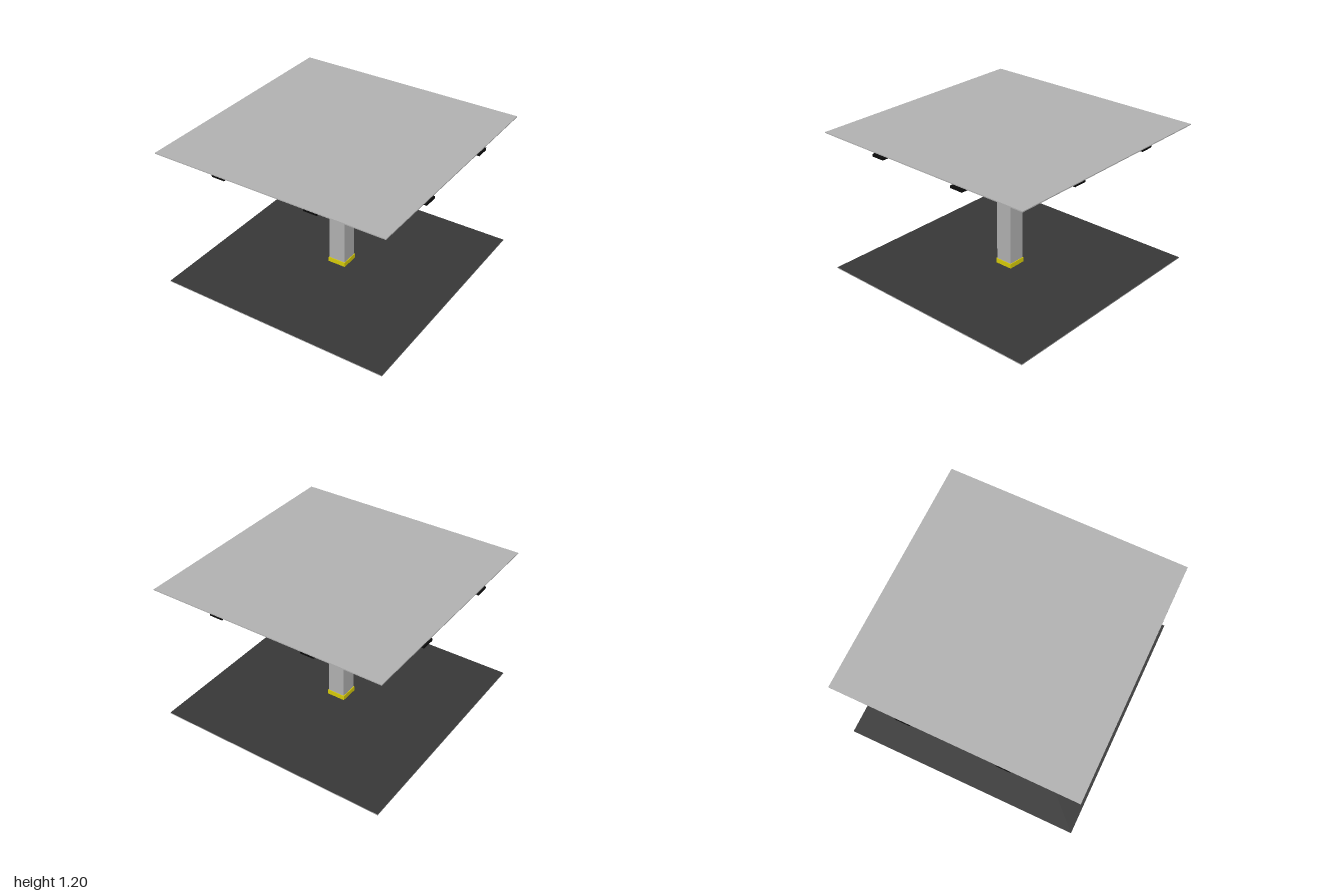
import * as THREE from 'three';

const mat = (name, color) => {
  const m = new THREE.MeshStandardMaterial({ color });
  m.name = name;
  return m;
};

export function createModel() {
  const model = new THREE.Group();
  model.name = 'parkingBay';
  const concrete = mat('concrete grey', 0xb2b2b2);
  const soffit = mat('soffit grey', 0x9c9c9c);
  const asphalt = mat('asphalt', 0x383838);
  const black = mat('tray black', 0x0c0c0c);
  const yellow = mat('safety yellow', 0xd9cd08);

  // Box given by its centre x, z and its lower and upper height
  const box = (name, w, d, y0, y1, material, x = 0, z = 0) => {
    const mesh = new THREE.Mesh(new THREE.BoxGeometry(w, y1 - y0, d), material);
    mesh.name = name;
    mesh.position.set(x, (y0 + y1) / 2, z);
    model.add(mesh);
    return mesh;
  };

  // Slabs: face order is +x, -x, +y, -y, +z, -z
  box('floorSlab', 2, 2, 0, 0.008, [concrete, concrete, asphalt, concrete, concrete, concrete]);
  box('ceilingSlab', 2, 2, 1.196, 1.204, [concrete, concrete, concrete, soffit, concrete, concrete]);

  // Column with its painted protective sleeve
  box('column', 0.146, 0.146, 0.008, 1.196, concrete);
  box('columnSleeve', 0.158, 0.158, 0.012, 0.052, yellow);

  // Two layers of crossing overhead trays, each with a small fixture at mid-span
  for (const s of [-0.4, 0.4]) {
    box('upperTray', 0.112, 2, 1.18, 1.196, black, s, 0);
    box('lowerTray', 2, 0.112, 1.16, 1.18, black, 0, s);
    box('upperTrayFixture', 0.03, 0.14, 1.174, 1.18, black, s, 0);
    box('lowerTrayFixture', 0.14, 0.03, 1.154, 1.16, black, 0, s);
    // Cover plates under the crossings
    for (const t of [-0.4, 0.4]) box('crossingPlate', 0.112, 0.112, 1.155, 1.16, concrete, s, t);
  }
  return model;
}
